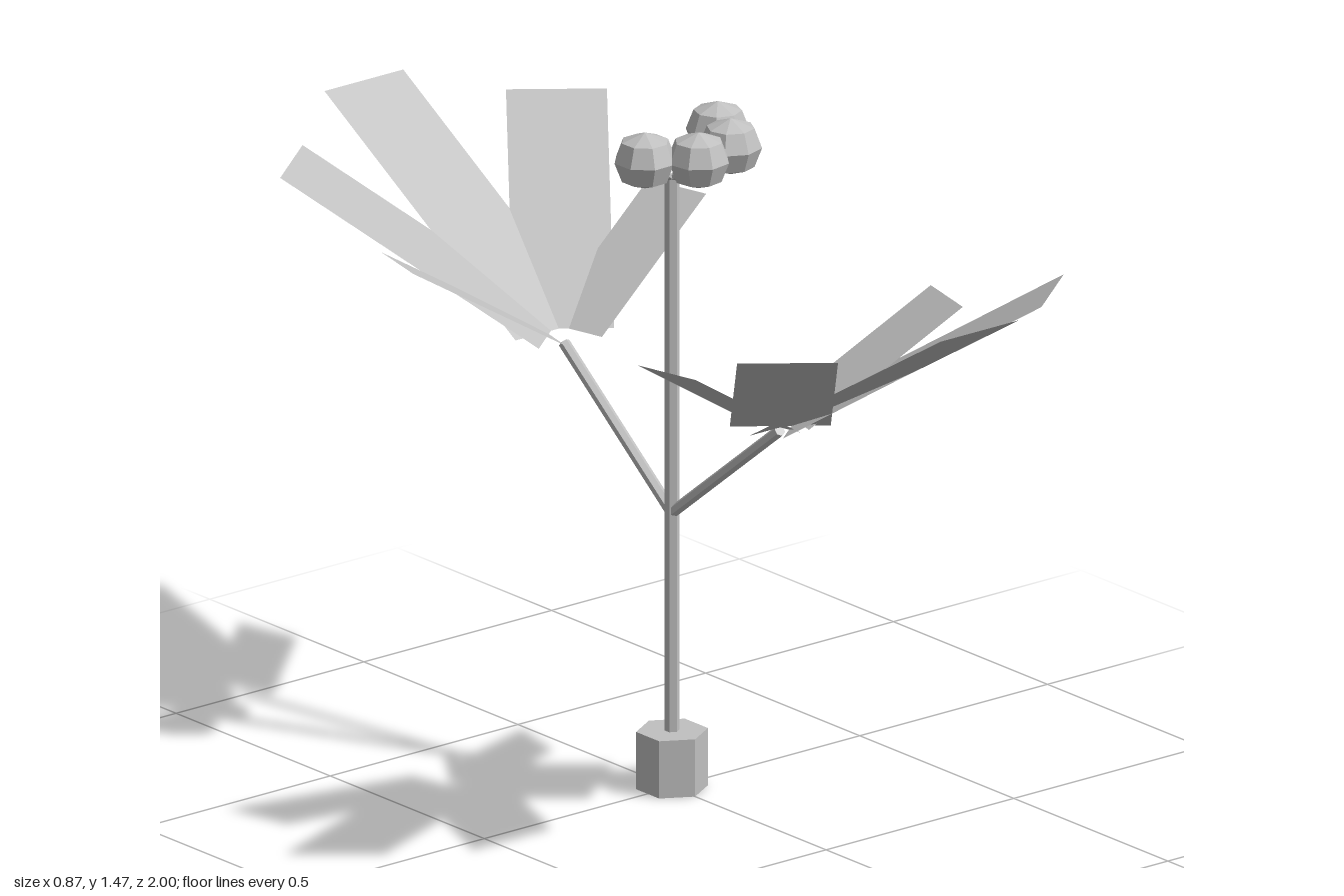
import * as THREE from 'three';

const grey = new THREE.MeshStandardMaterial({ color: 0xc0c0c0, flatShading: true });
grey.name = 'plain grey';
const leafGrey = new THREE.MeshStandardMaterial({ color: 0xc0c0c0, flatShading: true, side: THREE.DoubleSide });
leafGrey.name = 'leaf grey';

function addMesh(parent, name, geometry, material = grey) {
  const mesh = new THREE.Mesh(geometry, material);
  mesh.name = name;
  parent.add(mesh);
  return mesh;
}

// Six-sided rod between two points
function addRod(parent, name, from, to, radius) {
  const dir = to.clone().sub(from);
  const rod = addMesh(parent, name, new THREE.CylinderGeometry(radius, radius, dir.length(), 6));
  rod.position.copy(from).add(to).multiplyScalar(0.5);
  rod.quaternion.setFromUnitVectors(new THREE.Vector3(0, 1, 0), dir.normalize());
  return rod;
}

// Flat blade rising along +z from the tip of a branch, its width level
function bladeGeometry(width, reach) {
  const inner = 0.03, slope = 0.605;
  const geometry = new THREE.PlaneGeometry(width, reach - inner);
  geometry.rotateX(-Math.PI / 2);
  geometry.translate(0, 0, (reach + inner) / 2);
  const pos = geometry.attributes.position;
  for (let i = 0; i < pos.count; i++) pos.setY(i, pos.getZ(i) * slope);
  geometry.computeVertexNormals();
  return geometry;
}

export function createModel() {
  const model = new THREE.Group();
  model.name = 'plant';
  const v = (x, y, z) => new THREE.Vector3(x, y, z);

  // Base block and main stem
  addMesh(model, 'base', new THREE.CylinderGeometry(0.075, 0.075, 0.125, 6)).position.y = 0.0625;
  addRod(model, 'stem', v(0, 0.1, 0), v(0, 1.335, 0), 0.0156);

  // Two branches, each with a fan of five blades
  const blades = [[0, 0.21, 0.65], [37.8, 0.208, 0.576], [-37.8, 0.208, 0.576], [76.8, 0.15, 0.383], [-76.8, 0.15, 0.383]];
  for (const side of [1, -1]) {
    const frond = new THREE.Group();
    frond.name = side > 0 ? 'frontFrond' : 'backFrond';
    frond.rotation.y = side > 0 ? 0 : Math.PI;
    model.add(frond);
    addRod(frond, 'branch', v(0, 0.6, 0), v(0, 0.875, 0.35), 0.0125);
    for (const [angle, width, reach] of blades) {
      const blade = addMesh(frond, 'blade', bladeGeometry(width, reach), leafGrey);
      blade.position.set(0, 0.877, 0.35);
      blade.rotation.y = THREE.MathUtils.degToRad(angle);
    }
  }

  // Cluster of berries on short stalks
  const profile = [[0, -0.061], [0.05, -0.042], [0.066, 0], [0.05, 0.042], [0, 0.061]];
  const berryGeometry = new THREE.LatheGeometry(profile.map(([r, y]) => new THREE.Vector2(r, y)), 8);
  for (const [x, z] of [[-0.113, 0.05], [-0.027, 0.119], [0.079, 0.094], [0.126, -0.005]]) {
    const berry = addMesh(model, 'berry', berryGeometry);
    berry.position.set(x, 1.408, z);
    berry.rotation.y = Math.atan2(x, z);
    addRod(model, 'stalk', v(0, 1.33, 0), v(x * 0.9, 1.395, z * 0.9), 0.008);
  }
  return model;
}
